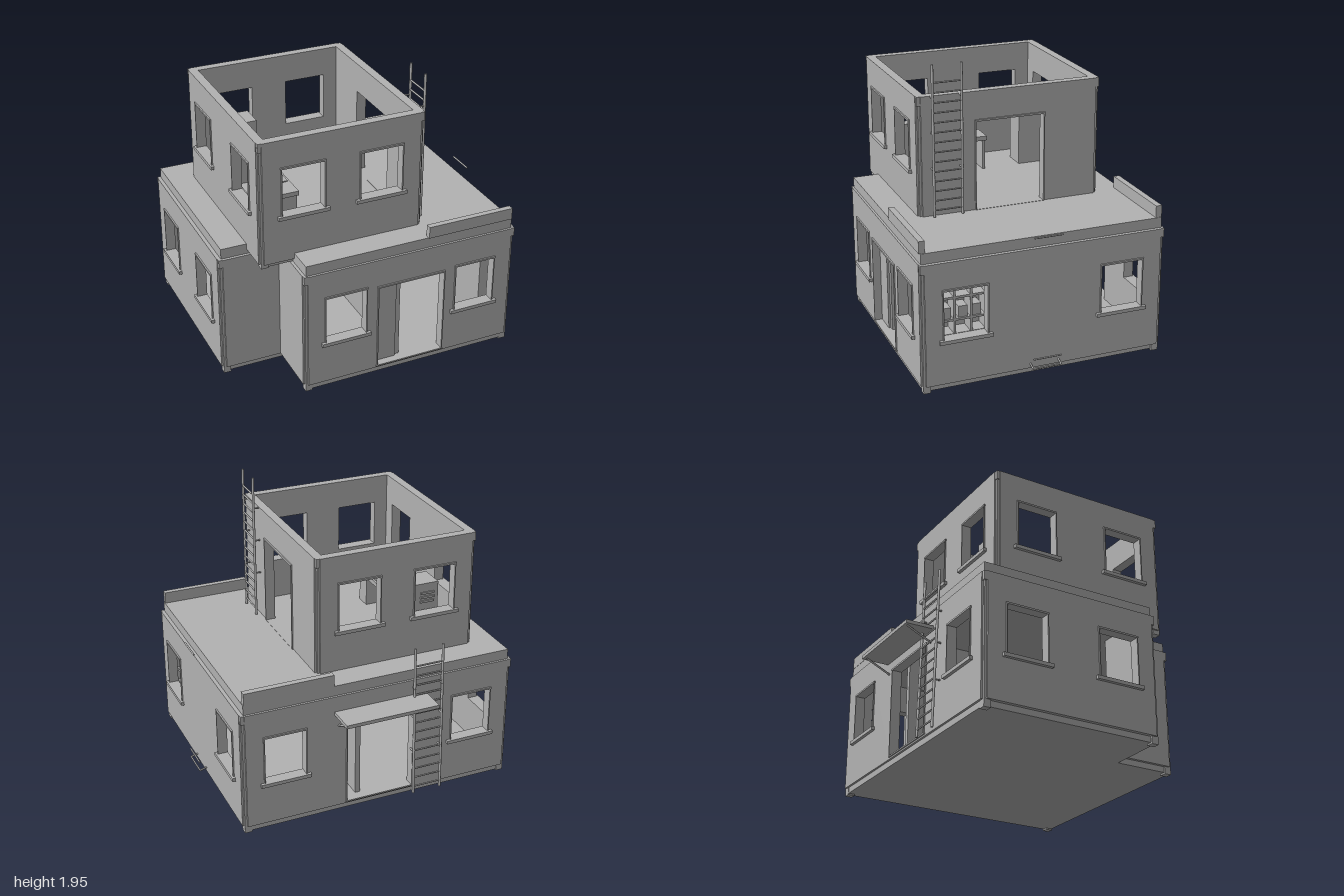
import * as THREE from 'three';

export function createModel() {
  const model = new THREE.Group();
  const plaster = new THREE.MeshStandardMaterial({ color: 0xb2b2b2, side: THREE.DoubleSide });
  plaster.name = 'plasterGrey';

  // Box given by its minimum and maximum on each axis
  const box = (name, x0, x1, y0, y1, z0, z1, parent = model) => {
    const m = new THREE.Mesh(new THREE.BoxGeometry(x1 - x0, y1 - y0, z1 - z0), plaster);
    m.position.set((x0 + x1) / 2, (y0 + y1) / 2, (z0 + z1) / 2);
    m.name = name;
    parent.add(m);
    return m;
  };

  // Square or round bar between two points
  const bar = (name, a, b, r = 0.006, sides = 8) => {
    const p = new THREE.Vector3(...a), q = new THREE.Vector3(...b);
    const d = q.clone().sub(p);
    const m = new THREE.Mesh(new THREE.CylinderGeometry(r, r, d.length(), sides), plaster);
    m.position.copy(p).add(q).multiplyScalar(0.5);
    m.quaternion.setFromUnitVectors(new THREE.Vector3(0, 1, 0), d.normalize());
    m.name = name;
    model.add(m);
  };

  // L-shaped slab, inset from the wall faces
  const slab = (name, y0, y1) => {
    const pts = [[-0.955, -0.735], [0.92, -0.735], [0.92, 0.895], [-0.55, 0.895], [-0.55, 0.485], [-0.955, 0.485]];
    const shape = new THREE.Shape(pts.map(([x, z]) => new THREE.Vector2(x, -z)));
    const m = new THREE.Mesh(new THREE.ExtrudeGeometry(shape, { depth: y1 - y0, bevelEnabled: false }), plaster);
    m.rotation.x = -Math.PI / 2;
    m.position.y = y0;
    m.name = name;
    model.add(m);
  };

  // Wall facing one side; openings are [from, to, bottom, top, isDoor] along world x or z
  const T = 0.06;
  const facing = { front: [0, 1], right: [Math.PI / 2, -1], back: [Math.PI, -1], left: [-Math.PI / 2, 1] };
  const wall = (name, side, face, from, to, y0, y1, openings = []) => {
    const [angle, sign] = facing[side];
    const g = new THREE.Group();
    g.name = name;
    const span = (a, b) => (sign > 0 ? [a, b] : [-b, -a]);
    const rect = (path, a, b, c, d) =>
      path.moveTo(a, c).lineTo(b, c).lineTo(b, d).lineTo(a, d).closePath();
    const shape = new THREE.Shape();
    rect(shape, ...span(from, to), y0, y1);
    for (const [a, b, c, d, door] of openings) {
      const [u, v] = span(a, b);
      const hole = new THREE.Path();
      rect(hole, u, v, c, d);
      shape.holes.push(hole);
      // Trim around the opening
      const e = door ? 0.012 : 0.032;
      box('sill', u - e, v + e, c - (door ? 0.01 : 0.024), c, -0.04, door ? 0.008 : 0.022, g);
      box('head', u - 0.01, v + 0.01, d, d + 0.012, -0.01, 0.01, g);
      for (const x of [u - 0.008, v]) box('jamb', x, x + 0.008, c, d, -0.01, 0.009, g);
    }
    const m = new THREE.Mesh(new THREE.ExtrudeGeometry(shape, { depth: T, bevelEnabled: false }), plaster);
    m.position.z = -T;
    m.name = 'wallPanel';
    g.add(m);
    g.rotation.y = angle;
    if (side === 'front' || side === 'back') g.position.z = face;
    else g.position.x = face;
    model.add(g);
  };

  // Corner post set back from both walls, with a slightly proud cap
  const corner = (x, z, sx, sz, y0, y1) => {
    const post = (name, near, far, a, b) => {
      const xs = [x - sx * near, x - sx * far].sort((p, q) => p - q);
      const zs = [z - sz * near, z - sz * far].sort((p, q) => p - q);
      box(name, xs[0], xs[1], a, b, zs[0], zs[1]);
    };
    post('cornerPost', 0.012, T, y0, y1 - 0.06);
    post('cornerCap', 0.004, T, y1 - 0.06, y1);
  };

  // Ground floor
  slab('groundSlab', 0.01, 0.07);
  slab('roofSlab', 0.87, 0.94);
  const G = [0.05, 0.87], lo = 0.355, hi = 0.68, s = 0.028;
  wall('groundFrontWall', 'front', 0.91, -0.57 + s, 0.945 - s, ...G,
    [[-0.42, -0.14, lo, hi], [-0.05, 0.42, 0.07, 0.665, true], [0.51, 0.79, lo, hi]]);
  wall('groundBackWall', 'back', -0.75, -0.98 + s, 0.945 - s, ...G,
    [[-0.82, -0.54, lo, hi], [-0.25, 0.22, 0.07, 0.665, true], [0.51, 0.79, lo, hi]]);
  wall('groundRightWall', 'right', 0.945, -0.75 + s, 0.91 - s, ...G,
    [[-0.59, -0.305, lo, hi], [0.475, 0.762, lo, hi]]);
  wall('groundLeftWall', 'left', -0.98, -0.75 + s, 0.505 - s, ...G,
    [[-0.59, -0.31, lo, hi], [0.07, 0.35, lo, hi]]);
  wall('notchFrontWall', 'front', 0.505, -0.98 + s, -0.51, ...G);
  wall('notchSideWall', 'left', -0.57, 0.445, 0.91 - s, ...G);
  for (const [x, z, sx, sz] of [[-0.98, -0.75, -1, -1], [0.945, -0.75, 1, -1], [0.945, 0.91, 1, 1],
    [-0.57, 0.91, -1, 1], [-0.98, 0.505, -1, 1]]) corner(x, z, sx, sz, 0, 0.87);

  // Rooms, door leaf and shelves inside
  box('partition', 0.1, 0.135, 0.07, 0.87, -0.69, 0.85);
  box('doorLeaf', -0.05, 0.1, 0.07, 0.68, 0.845, 0.865);
  for (const y of [0.09, 0.34, 0.44, 0.59, 0.67]) box('shelf', 0.77, 0.88, y, y + 0.015, 0.45, 0.8);
  for (const z of [0.45, 0.55, 0.66, 0.785]) box('shelfUpright', 0.77, 0.88, 0.07, 0.685, z, z + 0.015);
  box('shelfBack', 0.76, 0.77, 0.07, 0.62, 0.45, 0.8);
  for (const z of [0.49, 0.58, 0.69]) box('storedBox', 0.78, 0.87, 0.455, 0.53, z, z + 0.06);

  // Roof parapets
  box('frontParapet', 0.305, 0.915, 0.94, 1.02, 0.865, 0.905);
  box('backParapet', 0.305, 0.915, 0.94, 1.02, -0.737, -0.695);

  // Upper floor, open at the top
  box('overhangSlab', -0.735, -0.5, 0.87, 0.94, 0.4, 0.69);
  const U = [0.9, 1.74], ulo = 1.225, uhi = 1.545;
  const pair = [[-0.625, -0.342, ulo, uhi], [-0.094, 0.193, ulo, uhi]];
  wall('upperFrontWall', 'front', 0.715, -0.78 + s, 0.35 - s, ...U, pair);
  wall('upperBackWall', 'back', -0.55, -0.78 + s, 0.35 - s, ...U, pair);
  wall('upperLeftWall', 'left', -0.78, -0.55 + s, 0.715 - s, ...U,
    [[-0.39, -0.11, ulo, uhi], [0.28, 0.56, ulo, uhi]]);
  wall('upperRightWall', 'right', 0.35, -0.55 + s, 0.715 - s, ...U, [[-0.15, 0.32, 0.942, 1.54, true]]);
  for (const [x, sx] of [[-0.78, -1], [0.35, 1]])
    for (const [z, sz] of [[-0.55, -1], [0.715, 1]]) corner(x, z, sx, sz, 0.87, 1.74);

  // Desk with screen and keyboard, seat, cabinet
  box('deskTop', -0.545, -0.375, 1.152, 1.183, -0.035, 0.39);
  box('deskSide', -0.535, -0.385, 0.94, 1.152, -0.025, -0.005);
  box('deskDrawers', -0.535, -0.385, 0.94, 1.152, 0.27, 0.38);
  box('screenStand', -0.505, -0.475, 1.183, 1.205, 0.15, 0.2);
  box('screen', -0.503, -0.483, 1.2, 1.315, 0.092, 0.262);
  box('keyboard', -0.445, -0.39, 1.183, 1.19, 0.11, 0.24);
  box('seat', -0.68, -0.545, 1.06, 1.085, 0.11, 0.24);
  box('seatBack', -0.68, -0.665, 1.085, 1.15, 0.11, 0.24);
  for (const x of [-0.67, -0.57]) for (const z of [0.125, 0.21]) box('seatLeg', x, x + 0.015, 0.94, 1.06, z, z + 0.015);
  box('cabinet', -0.56, -0.392, 0.94, 1.395, -0.46, -0.285);
  for (const y of [1.26, 1.29, 1.32]) box('cabinetVent', -0.53, -0.43, y, y + 0.015, -0.468, -0.46);

  // Awning over the back door
  box('awning', -0.34, 0.31, 0.738, 0.762, -0.94, -0.74);
  for (const x of [-0.31, 0.28]) bar('awningBrace', [x, 0.655, -0.745], [x, 0.738, -0.92], 0.008, 4);

  // Ladders: rails, rungs and wall brackets
  const ladder = (bottomA, bottomB, top, rungs) => {
    const at = (p, k) => p.map((v, i) => v + top[i] * k);
    bar('ladderRail', bottomA, at(bottomA, 1), 0.009);
    bar('ladderRail', bottomB, at(bottomB, 1), 0.009);
    for (let i = 0; i < rungs; i++) {
      const k = 0.045 + i * 0.0645;
      bar('ladderRung', at(bottomA, k), at(bottomB, k), 0.006);
    }
  };
  ladder([0.389, 0.945, 0.428], [0.389, 0.945, 0.621], [0, 1.007, 0], 14);
  for (const z of [0.428, 0.621]) for (const y of [1.26, 1.5, 1.735]) bar('ladderBracket', [0.34, y, z], [0.389, y, z]);
  ladder([-0.445, 0.035, -0.797], [-0.245, 0.035, -0.797], [0, 1.07, 0.028], 14);
  for (const x of [-0.445, -0.245]) for (const y of [0.35, 0.6, 0.82]) bar('ladderBracket', [x, y, -0.74], [x, y, -0.785]);

  // Climbing rungs on the right side
  for (const y of [0.065, 0.13, 0.96]) bar('sideRung', [0.992, y, -0.01], [0.992, y, 0.183]);
  for (const z of [-0.01, 0.183]) bar('sideRungBracket', [0.94, 0.08, z], [0.992, 0.065, z]);

  return model;
}
